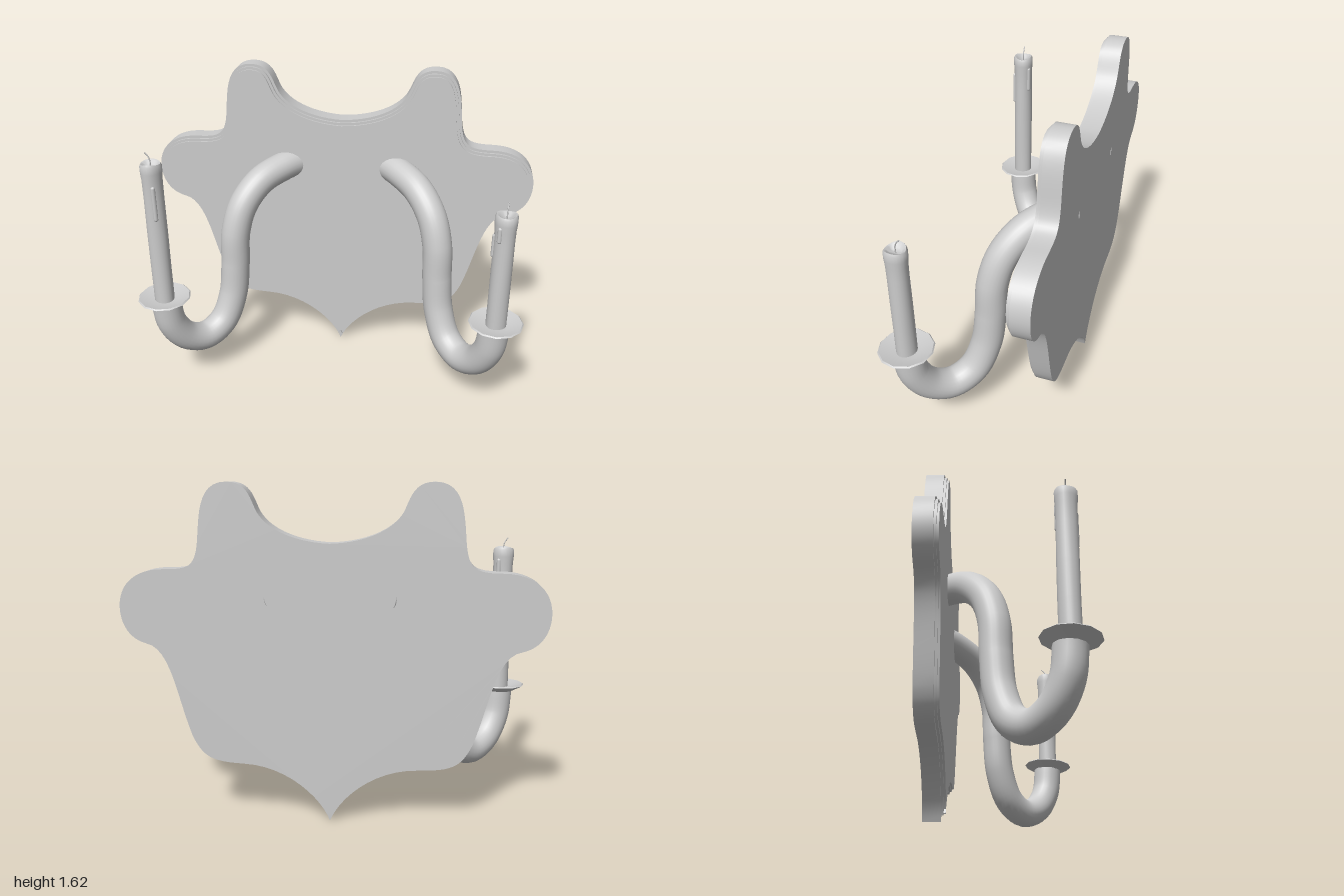
import * as THREE from 'three';
import { toCreasedNormals } from 'three/addons/utils/BufferGeometryUtils.js';

const material = new THREE.MeshStandardMaterial({ color: 0xcccccc, side: THREE.DoubleSide });

function part(name, geometry, parent) {
  const mesh = new THREE.Mesh(geometry, material);
  mesh.name = name;
  parent.add(mesh);
  return mesh;
}

// Closed outline of the back plate: one half drawn, the other mirrored
function plateOutline() {
  const half = new THREE.Path();
  half.moveTo(0, 0);
  [
    [0.04, 0.11, 0.2, 0.27, 0.42, 0.275],
    [0.58, 0.28, 0.62, 0.3, 0.67, 0.41],
    [0.74, 0.6, 0.76, 0.84, 0.88, 0.86],
    [0.96, 0.88, 1.0, 0.95, 1.0, 1.03],
    [1.0, 1.14, 0.92, 1.215, 0.78, 1.215],
    [0.66, 1.215, 0.63, 1.23, 0.615, 1.33],
    [0.6, 1.45, 0.61, 1.615, 0.47, 1.615],
    [0.36, 1.615, 0.36, 1.52, 0.325, 1.47],
    [0.27, 1.39, 0.14, 1.345, 0, 1.34],
  ].forEach((c) => half.bezierCurveTo(...c));
  const pts = half.getPoints(12);
  const mirrored = pts.slice(1, -1).reverse().map((p) => new THREE.Vector2(-p.x, p.y));
  return pts.concat(mirrored);
}

// Move every outline point inwards by d, with mitred corners
function inset(points, d) {
  const n = points.length;
  return points.map((p, i) => {
    const a = p.clone().sub(points[(i + n - 1) % n]).normalize();
    const b = points[(i + 1) % n].clone().sub(p).normalize();
    const normal = new THREE.Vector2(-a.y - b.y, a.x + b.x).normalize();
    const cos = Math.max(0.4, -normal.x * a.y + normal.y * a.x);
    return p.clone().addScaledVector(normal, d / cos);
  });
}

function backPlate() {
  const plate = new THREE.Group();
  plate.name = 'backPlate';
  const outline = plateOutline();
  // Inset, back z, front z of each step
  [
    ['plateBody', 0, -0.386, -0.298],
    ['plateStep', 0.013, -0.298, -0.286],
    ['plateFace', 0.026, -0.286, -0.276],
  ].forEach(([name, d, back, front]) => {
    const geo = new THREE.ExtrudeGeometry(new THREE.Shape(inset(outline, d)), {
      depth: front - back, bevelEnabled: false,
    });
    geo.translate(0, 0, back);
    part(name, toCreasedNormals(geo, 0.6), plate);
  });
  return plate;
}

// Swan-neck arm, swept along a path lying in a 45 degree plane
function armGeometry(side) {
  const profile = [
    [-0.337, 1.088], [-0.27, 1.075], [-0.17, 1.03], [-0.09, 0.925], [-0.05, 0.78],
    [-0.04, 0.6], [-0.022, 0.42], [0.03, 0.275], [0.11, 0.222], [0.19, 0.265],
    [0.245, 0.375], [0.262, 0.525],
  ];
  const path = new THREE.CatmullRomCurve3(profile.map(([z, y]) =>
    new THREE.Vector3(side * (0.3 + (z + 0.285) * 0.973), y, z)));
  return new THREE.TubeGeometry(path, 64, 0.076, 24);
}

// Candle body with a softened rim, a hollow top and slightly uneven wax
function candleGeometry(height, phase) {
  const h = height;
  const profile = [
    [0, 0], [0.05, 0], [0.05, h * 0.25], [0.05, h * 0.5], [0.049, h * 0.75], [0.05, h - 0.08],
    [0.053, h - 0.045], [0.053, h - 0.012], [0.047, h], [0.038, h - 0.004], [0.025, h - 0.018],
    [0, h - 0.022],
  ].map(([r, y]) => new THREE.Vector2(r, y));
  const geo = new THREE.LatheGeometry(profile, 24);
  const pos = geo.attributes.position;
  for (let i = 0; i < pos.count; i++) {
    const x = pos.getX(i), y = pos.getY(i), z = pos.getZ(i);
    const angle = Math.atan2(z, x);
    const k = 1 + 0.025 * Math.sin(3 * angle + phase + y * 6);
    const rim = y > h - 0.02 ? 0.004 * Math.sin(2 * angle + phase) : 0;
    pos.setXYZ(i, x * k, y + rim, z * k);
  }
  geo.computeVertexNormals();
  return toCreasedNormals(geo, 1.0);
}

function candleHolder(side, height, wickLean, drips) {
  const holder = new THREE.Group();
  holder.name = side > 0 ? 'leftCandleHolder' : 'rightCandleHolder';
  holder.position.set(side * 0.835, 0.53, 0.263);

  // Twelve-sided shallow drip pan
  const panProfile = [[0, -0.022], [0.072, -0.022], [0.134, 0.012], [0.128, 0.018], [0.07, 0.002], [0, 0.002]];
  const pan = part('dripPan', toCreasedNormals(new THREE.LatheGeometry(
    panProfile.map(([r, y]) => new THREE.Vector2(r, y)), 12), 0.4), holder);
  pan.rotation.x = 0.05;

  part('candle', candleGeometry(height, side * 1.3), holder);

  // Wax runs down the side
  drips.forEach(([angle, y, length]) => {
    const drip = part('waxDrip', new THREE.CapsuleGeometry(0.011, length, 6, 10), holder);
    drip.position.set(0.047 * Math.cos(angle), y, 0.047 * Math.sin(angle));
  });

  // Thin bent wick
  const [lx, lz] = wickLean;
  const wick = new THREE.CatmullRomCurve3([
    new THREE.Vector3(0, height - 0.03, 0),
    new THREE.Vector3(0, height + 0.012, 0),
    new THREE.Vector3(lx * 0.4, height + 0.035, lz * 0.4),
    new THREE.Vector3(lx, height + 0.05, lz),
  ]);
  part('wick', new THREE.TubeGeometry(wick, 12, 0.003, 6), holder);
  return holder;
}

export function createModel() {
  const model = new THREE.Group();
  model.name = 'wallCandleSconce';
  model.add(backPlate());
  part('leftArm', armGeometry(1), model);
  part('rightArm', armGeometry(-1), model);
  model.add(candleHolder(1, 0.592, [0.004, -0.024], [[Math.PI, 0.43, 0.1], [2.2, 0.5, 0.06]]));
  model.add(candleHolder(-1, 0.745, [-0.022, 0], [[1.2, 0.55, 0.16], [-1.0, 0.62, 0.12]]));
  return model;
}
